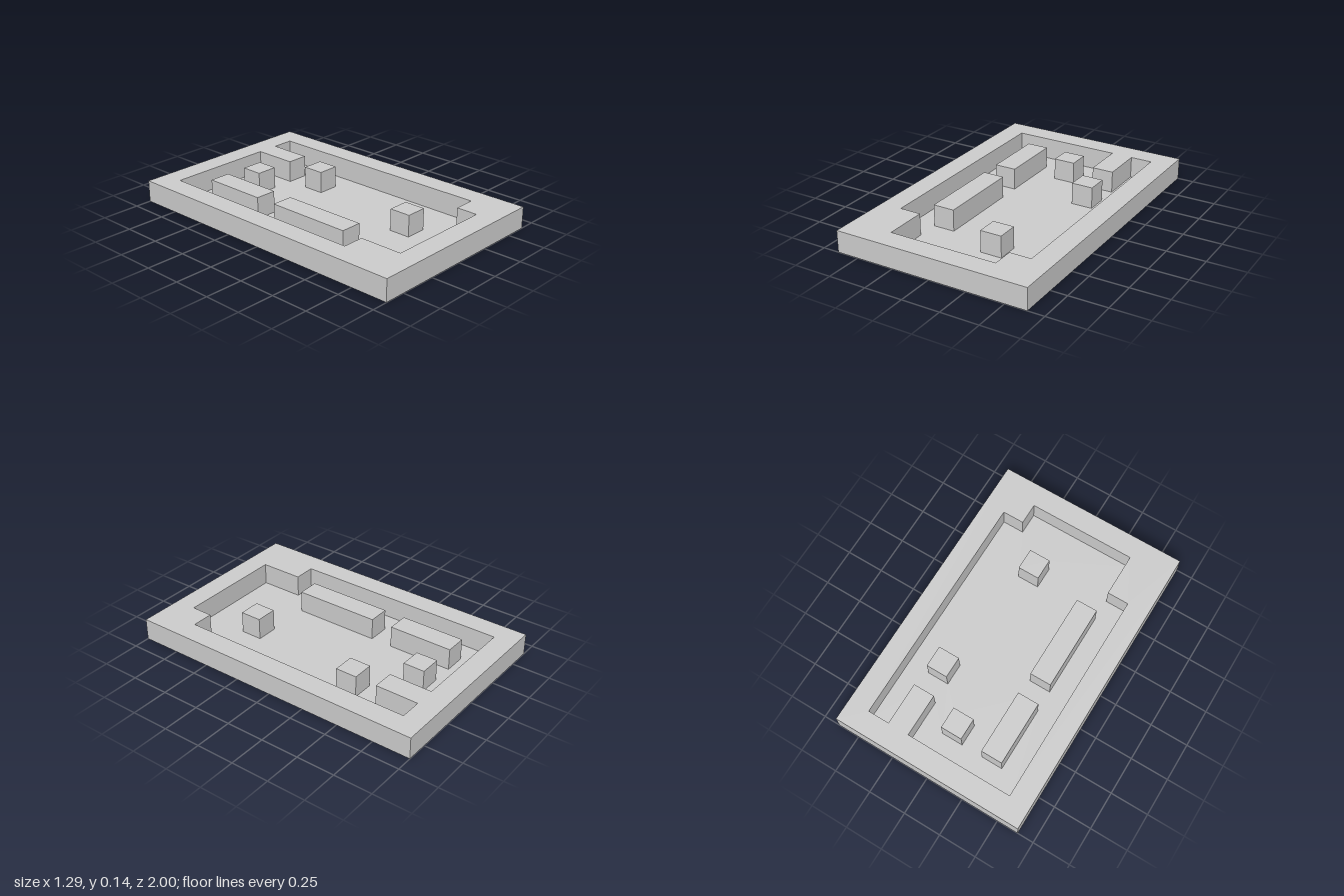
import * as THREE from 'three';
import { mergeGeometries } from 'three/addons/utils/BufferGeometryUtils.js';

const U = 1 / 7; // one grid cell; also the height of the tray
const material = new THREE.MeshStandardMaterial({ color: 0xcccccc, flatShading: true, side: THREE.DoubleSide });

// Loops are [x, z] in grid cells; anticlockwise seen from above makes walls face outward
const rect = (x0, z0, x1, z1) => [[x0, z1], [x1, z1], [x1, z0], [x0, z0]];
const toPoints = (loop) => loop.map(([x, z]) => new THREE.Vector2(x * U, -z * U));

// Horizontal sheet with openings
function sheet(loop, holes, y) {
  const shape = new THREE.Shape(toPoints(loop));
  shape.holes = holes.map((hole) => new THREE.Path(toPoints(hole)));
  return new THREE.ShapeGeometry(shape).rotateX(-Math.PI / 2).translate(0, y, 0);
}

// Upright panels along every edge of a loop
function walls(loop) {
  return mergeGeometries(loop.map(([x0, z0], i) => {
    const [x1, z1] = loop[(i + 1) % loop.length];
    const dx = x1 - x0, dz = z1 - z0;
    return new THREE.PlaneGeometry(Math.hypot(dx, dz) * U, U)
      .rotateY(Math.atan2(-dz, dx))
      .translate((x0 + x1) / 2 * U, U / 2, (z0 + z1) / 2 * U);
  }));
}

export function createModel() {
  const group = new THREE.Group();
  const add = (name, geometry) => {
    const mesh = new THREE.Mesh(geometry, material);
    mesh.name = name;
    group.add(mesh);
  };

  const outline = rect(-4.5, -7, 4.5, 7);
  // Recess outline, clockwise so that its walls face into the recess
  const recess = [
    [-3.5, -6], [1.5, -6], [1.5, -4], [2.5, -4], [2.5, -6], [3.5, -6],
    [3.5, 5], [2.5, 5], [2.5, 6], [-2.5, 6], [-2.5, 4], [-3.5, 4],
  ];
  const blocks = [
    rect(-2.5, -5, -1.5, -2),
    rect(-0.5, -5, 0.5, -4),
    rect(1.5, -3, 2.5, -2),
    rect(-2.5, -1, -1.5, 3),
    rect(0.5, 3, 1.5, 4),
  ];

  // Thin shell, open underneath the rim and the blocks
  add('outerWalls', walls(outline));
  add('rim', sheet(outline, [recess], U));
  add('recessWalls', walls(recess));
  add('floor', sheet(recess, blocks, 0));
  blocks.forEach((block, i) => {
    add(`block${i + 1}`, mergeGeometries([walls(block), sheet(block, [], U)]));
  });
  return group;
}
